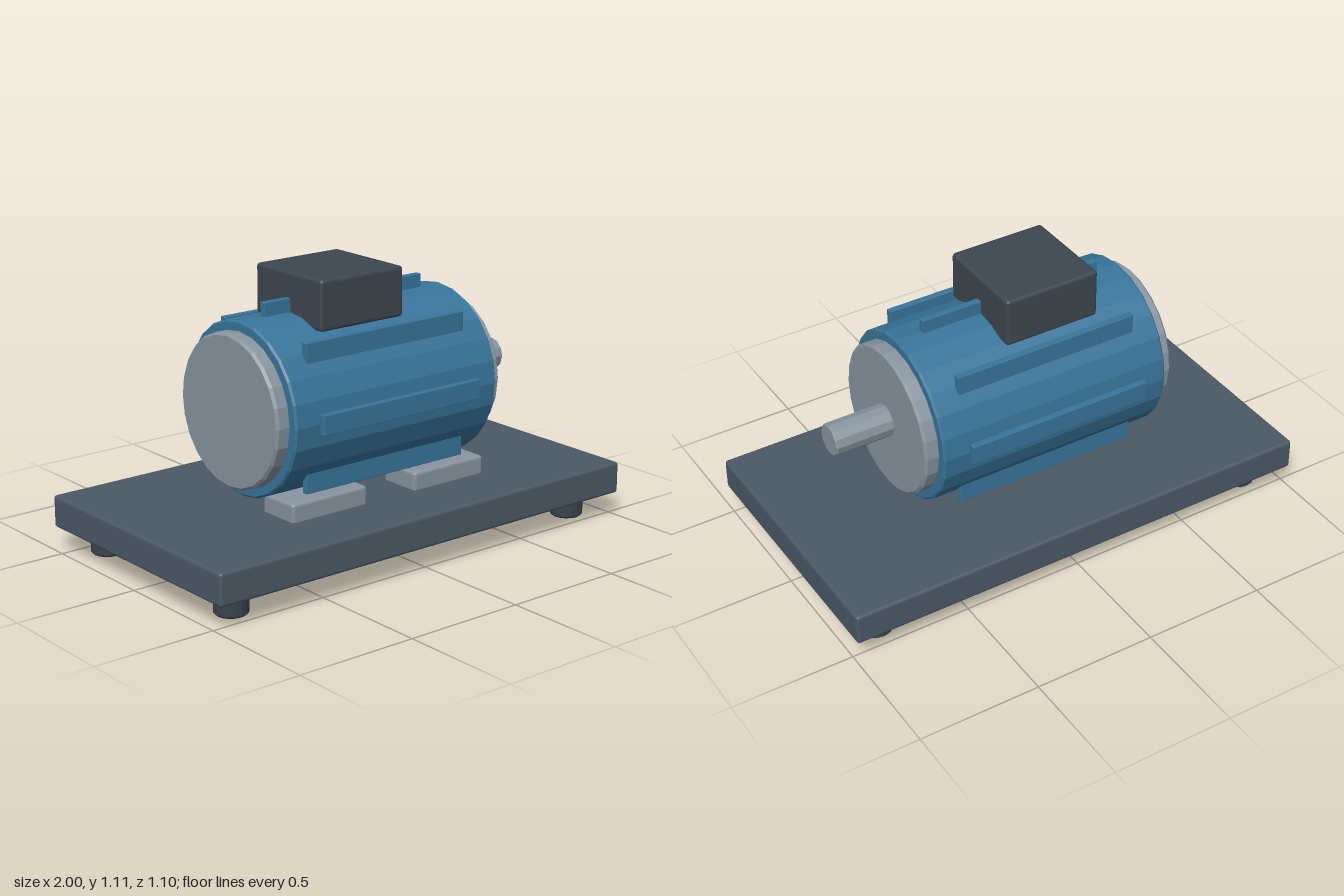
import * as THREE from 'three';
import { RoundedBoxGeometry } from 'three/addons/geometries/RoundedBoxGeometry.js';

const paint = (color) => new THREE.MeshStandardMaterial({ color, flatShading: true });
const slate = paint(0x4b5966), dark = paint(0x3d474f), blue = paint(0x38759a);
const steel = paint(0x8895a0), rubber = paint(0x3a434c);

export function createModel() {
  const model = new THREE.Group();
  const axisY = 0.608;

  function add(name, geometry, material, x, y, z) {
    const mesh = new THREE.Mesh(geometry, material);
    mesh.name = name;
    mesh.position.set(x, y, z);
    model.add(mesh);
    return mesh;
  }

  // Box with softened edges
  function box(name, material, size, position, bevel = 0.012) {
    return add(name, new RoundedBoxGeometry(...size, 2, bevel), material, ...position);
  }

  // Upright cylinder with chamfered rims, centred on its own height
  function drum(radius, length, sides, bevel) {
    const h = length / 2;
    const profile = [[0, -h], [radius - bevel, -h], [radius, -h + bevel],
      [radius, h - bevel], [radius - bevel, h], [0, h]];
    return new THREE.LatheGeometry(profile.map((p) => new THREE.Vector2(...p)), sides);
  }

  // Round part lying along x between two ends
  function axle(name, material, radius, x0, x1, sides, bevel) {
    const mesh = add(name, drum(radius, x1 - x0, sides, bevel), material, (x0 + x1) / 2, axisY, 0);
    mesh.rotation.z = -Math.PI / 2;
  }

  // Base plate on four round feet
  box('basePlate', slate, [2, 0.13, 1.1], [0, 0.163, 0]);
  for (const sx of [-1, 1]) {
    for (const sz of [-1, 1]) {
      add('baseFoot', drum(0.067, 0.11, 16, 0.008), rubber, sx * 0.85, 0.055, sz * 0.405);
    }
  }

  // Motor housing, end caps and drive shaft
  axle('housing', blue, 0.346, -0.5, 0.5, 24, 0.008);
  axle('endCapRight', steel, 0.305, -0.556, -0.48, 24, 0.01);
  axle('endCapLeft', steel, 0.305, 0.48, 0.556, 24, 0.01);
  axle('shaft', steel, 0.066, 0.5, 0.8, 12, 0.006);

  // Eight upright cooling fins spaced around the housing
  for (let i = 0; i < 8; i++) {
    const a = (i * Math.PI) / 4;
    box('coolingFin', blue, [0.78, 0.08, 0.027],
      [0, axisY + 0.359 * Math.cos(a), 0.359 * Math.sin(a)], 0.003);
  }

  // Terminal box on top
  box('terminalBox', dark, [0.404, 0.2, 0.404], [-0.065, 1.008, 0], 0.014);

  // Two mounting pads under the front of the housing
  for (const sx of [-1, 1]) {
    box('mountingPad', steel, [0.36, 0.09, 0.184], [sx * 0.3, 0.255, 0.205]);
  }

  return model;
}
